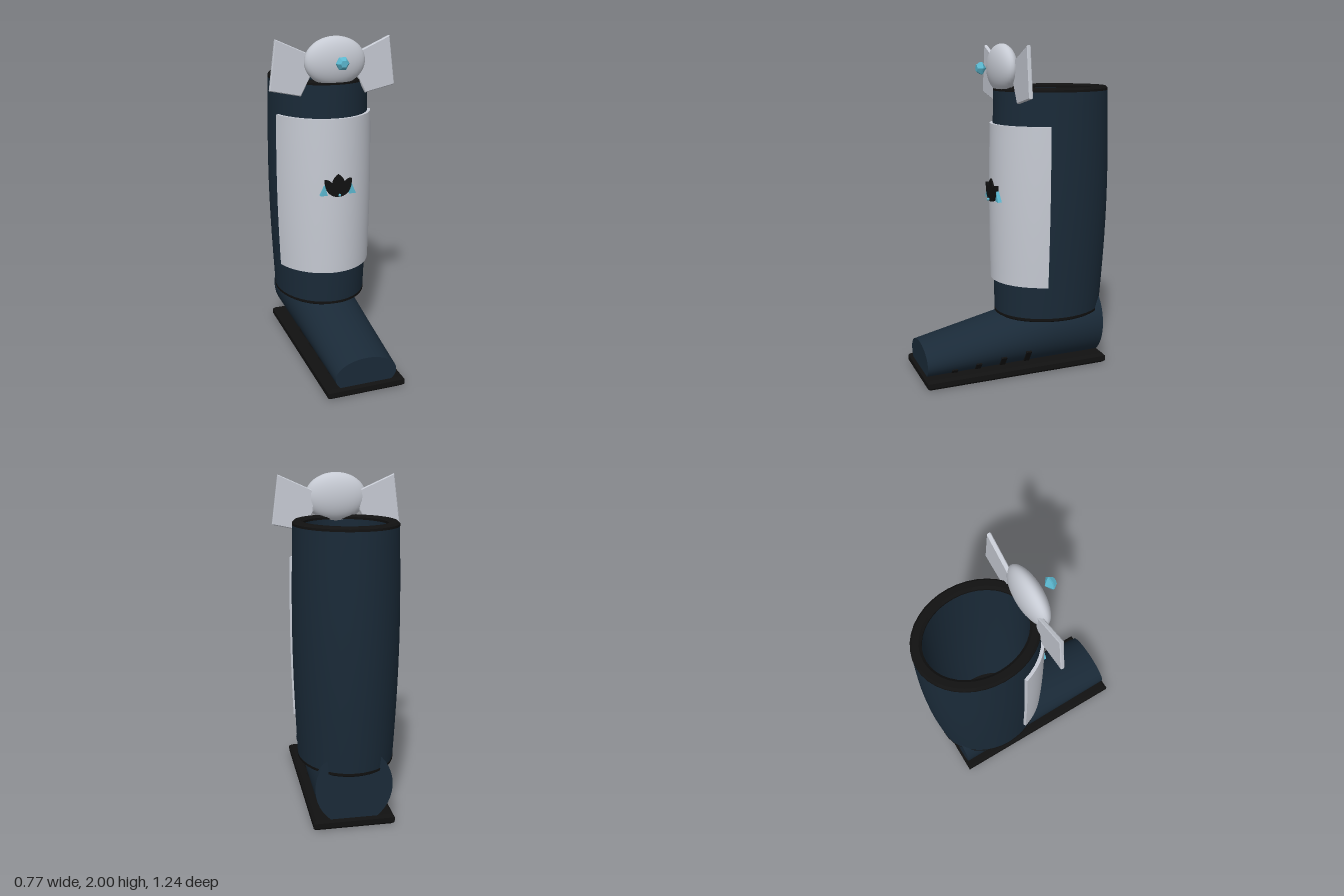
import * as THREE from 'three';
import { toCreasedNormals } from 'three/addons/utils/BufferGeometryUtils.js';

const mat = (color, extra = {}) => new THREE.MeshStandardMaterial({ color, ...extra });
const navy = mat(0x1a2a38, { side: THREE.DoubleSide });
const black = mat(0x111111);
const silver = mat(0xc6cad3);
const blue = mat(0x5bb8d0, { flatShading: true });

const lerp = THREE.MathUtils.lerp;

function add(parent, name, geometry, material) {
  const mesh = new THREE.Mesh(geometry, material);
  mesh.name = name;
  parent.add(mesh);
  return mesh;
}

// Skin a list of closed rings; point(row, angle) returns [x, y, z].
function loft(rows, point, segments = 40) {
  const pos = [], index = [];
  rows.forEach((row, i) => {
    for (let j = 0; j < segments; j++) {
      pos.push(...point(row, (j / segments) * Math.PI * 2));
      if (i === 0) continue;
      const k = (j + 1) % segments, a = (i - 1) * segments, b = i * segments;
      index.push(a + j, a + k, b + k, a + j, b + k, b + j);
    }
  });
  const g = new THREE.BufferGeometry();
  g.setAttribute('position', new THREE.Float32BufferAttribute(pos, 3));
  g.setIndex(index);
  return toCreasedNormals(g, 0.6);
}

// Point on the oval leg wall at a height, pushed outward by an offset.
function legPoint(y, angle, offset) {
  const t = (y - 0.335) / 1.415;
  const bulge = Math.sin(Math.PI * t);
  const rx = lerp(0.283, 0.298, t) + 0.018 * bulge + offset;
  const rz = lerp(0.342, 0.355, t) + 0.018 * bulge + offset;
  const cz = lerp(-0.238, -0.25, t) - 0.007 * bulge;
  return [rx * Math.sin(angle), y, cz + rz * Math.cos(angle)];
}
const legLoft = (rows) => loft(rows, ([y, offset], a) => legPoint(y, a, offset));

// Foot cross-section at depth z: half width, half height and centre height.
function footSection(z) {
  const t = (z + 0.53) / 1.14;
  const top = lerp(0.495, 0.225, t), bottom = 0.01;
  return { rx: lerp(0.227, 0.19, t), ry: (top - bottom) / 2, cy: (top + bottom) / 2 };
}

function extrude(points, depth, z, bevel = 0) {
  const shape = points instanceof THREE.Shape
    ? points : new THREE.Shape(points.map(([x, y]) => new THREE.Vector2(x, y)));
  return new THREE.ExtrudeGeometry(shape, {
    depth, curveSegments: 10, bevelEnabled: bevel > 0,
    bevelSize: bevel, bevelThickness: bevel, bevelOffset: -bevel, bevelSegments: 1,
  }).translate(0, 0, z);
}

export function createModel() {
  const model = new THREE.Group();
  model.name = 'boot';

  // Sole: bevelled slab lying flat
  const sole = extrude([[-0.24, -0.625], [0.24, -0.625], [0.24, 0.545], [-0.24, 0.545]], 0.03, 0.015, 0.015);
  add(model, 'sole', sole.rotateX(-Math.PI / 2), black);

  // Foot: tapering oval tube with flat ends
  const footRows = [[-0.53, 0], [-0.53, 1], [-0.2, 1], [0.1, 1], [0.61, 1], [0.61, 0]];
  add(model, 'foot', loft(footRows, ([z, s], a) => {
    const { rx, ry, cy } = footSection(z);
    return [s * rx * Math.cos(a), cy + s * ry * Math.sin(a), z];
  }), navy);

  // Small tabs along both sides of the foot
  [0.44, 0.29, 0.13, -0.03].forEach((z, i) => {
    const { rx, ry, cy } = footSection(z);
    const y = 0.072 + i * 0.01;
    const x = rx * Math.sqrt(1 - ((y - cy) / ry) ** 2);
    const tilt = Math.atan2((cy - y) * rx * rx, x * ry * ry);
    for (const side of [-1, 1]) {
      const tab = add(model, 'sideTab', new THREE.BoxGeometry(0.012, 0.04 + i * 0.016, 0.035), black);
      tab.position.set(side * x, y, z);
      tab.rotation.z = -side * tilt;
    }
  });

  // Leg: hollow oval wall, outside up and inside down
  const steps = Array.from({ length: 13 }, (_, i) => lerp(0.355, 1.735, i / 12));
  add(model, 'leg', legLoft([
    ...steps.map((y) => [y, 0]),
    ...steps.slice().reverse().map((y) => [y, -0.05]),
  ]), navy);

  // Dark trims at the ends of the leg
  add(model, 'topRim', legLoft([
    [1.725, -0.06], [1.725, 0.002], [1.738, 0.002], [1.75, -0.01],
    [1.75, -0.045], [1.738, -0.06], [1.725, -0.06],
  ]), black);
  add(model, 'ankleTrim', legLoft([
    [0.36, -0.08], [0.335, -0.08], [0.335, -0.012], [0.345, 0.002], [0.36, 0.002], [0.36, -0.08],
  ]), black);

  // Shin panel: a slab wrapped around the front of the leg
  const panel = new THREE.BoxGeometry(2, 1, 1, 28, 12, 1);
  const p = panel.attributes.position;
  for (let i = 0; i < p.count; i++) {
    const y = 1.0475 + p.getY(i) * 0.965;
    p.setXYZ(i, ...legPoint(y, p.getX(i) * 1.22, 0.008 + p.getZ(i) * 0.022));
  }
  add(model, 'shinPanel', toCreasedNormals(panel, 0.6), silver);

  // Petal ornament on the panel
  const flower = new THREE.Shape();
  flower.moveTo(0, 1.06);
  flower.bezierCurveTo(0.055, 1.06, 0.085, 1.1, 0.083, 1.168);
  flower.quadraticCurveTo(0.055, 1.168, 0.038, 1.145);
  flower.quadraticCurveTo(0.032, 1.18, 0, 1.2);
  flower.quadraticCurveTo(-0.032, 1.18, -0.038, 1.145);
  flower.quadraticCurveTo(-0.055, 1.168, -0.083, 1.168);
  flower.bezierCurveTo(-0.085, 1.1, -0.055, 1.06, 0, 1.06);
  add(model, 'petalOrnament', extrude(flower, 0.028, 0.116), black);
  for (const s of [-1, 1]) {
    const leaf = [[s * 0.112, 1.072], [s * 0.068, 1.072], [s * 0.085, 1.135]];
    add(model, 'ornamentLeaf', extrude(leaf, 0.025, 0.112), blue);
  }
  add(model, 'ornamentBead', new THREE.OctahedronGeometry(0.009, 1), blue).position.set(0, 1.075, 0.158);

  // Bow at the top: flattened knot and two plates
  const bow = new THREE.Group();
  bow.name = 'bow';
  model.add(bow);
  const knot = add(bow, 'bowKnot', new THREE.SphereGeometry(1, 32, 20), silver);
  knot.scale.set(0.186, 0.143, 0.071);
  knot.position.set(0, 1.857, 0.068);
  for (const s of [-1, 1]) {
    const wing = [[0.2, 1.66], [0.387, 1.7], [0.349, 1.99], [0.135, 1.895], [0.14, 1.775]];
    add(bow, 'bowWing', extrude(wing.map(([x, y]) => [s * x, y]), 0.014, 0.034, 0.005), silver);
  }

  // Faceted gem in front of the knot, point toward the bow
  const gemProfile = [[0, 0.165], [0.041, 0.195], [0.038, 0.203], [0.021, 0.226], [0, 0.226]]
    .map(([r, z]) => new THREE.Vector2(r, z));
  const gem = add(bow, 'gem', new THREE.LatheGeometry(gemProfile, 6, Math.PI / 2).rotateX(Math.PI / 2), blue);
  gem.position.y = 1.858;

  return model;
}
